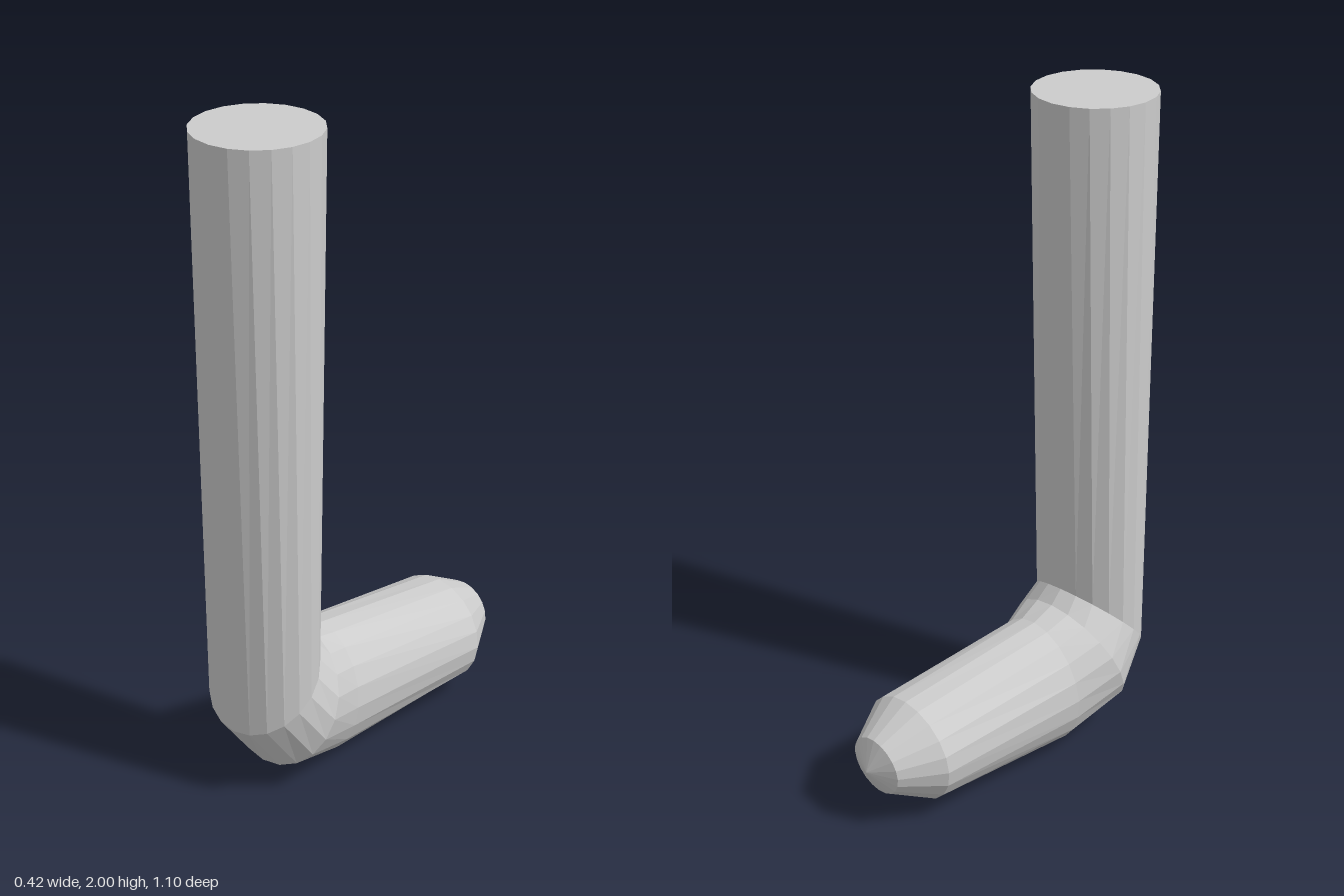
import * as THREE from 'three';

const SIDES = 20;

// Elliptical cross-sections from the cut top to the toe:
// front/underside point [y, z], back/upper point [y, z], centre x, half width, sideways skew in z
const sections = [
  { front: [2.0, 0.548], back: [2.0, 0.186], x: 0, w: 0.181, skew: 0 },
  { front: [0.22, 0.505], back: [0.47, 0.24], x: -0.005, w: 0.18, skew: 0 },
  { front: [0.06, 0.385], back: [0.43, 0.2], x: -0.005, w: 0.207, skew: 0.01 },
  { front: [0.0, 0.165], back: [0.405, 0.12], x: -0.008, w: 0.178, skew: 0.018 },
  { front: [0.02, -0.36], back: [0.34, -0.385], x: 0.032, w: 0.178, skew: 0.018 },
  { front: [0.095, -0.5], back: [0.27, -0.515], x: 0.032, w: 0.098, skew: 0.01 },
];

function ring({ front, back, x, w, skew }) {
  const cy = (front[0] + back[0]) / 2, cz = (front[1] + back[1]) / 2;
  const ay = (back[0] - front[0]) / 2, az = (back[1] - front[1]) / 2;
  return Array.from({ length: SIDES }, (_, i) => {
    const a = (i / SIDES) * Math.PI * 2, c = Math.cos(a), s = Math.sin(a);
    return [x + c * w, cy + s * ay, cz + s * az + c * skew];
  });
}

function facetedMesh(name, triangles) {
  const geometry = new THREE.BufferGeometry();
  geometry.setAttribute('position', new THREE.Float32BufferAttribute(triangles.flat(2), 3));
  geometry.computeVertexNormals();
  const mesh = new THREE.Mesh(geometry, new THREE.MeshStandardMaterial({ color: 0xcccccc, flatShading: true }));
  mesh.name = name;
  return mesh;
}

// Skin between consecutive rings
function loft(rings) {
  const tris = [];
  for (let k = 0; k < rings.length - 1; k++) {
    for (let i = 0; i < SIDES; i++) {
      const j = (i + 1) % SIDES, p = rings[k], q = rings[k + 1];
      tris.push([p[i], q[i], p[j]], [p[j], q[i], q[j]]);
    }
  }
  return tris;
}

// Fan closing a ring to a point
function fan(r, apex, flip) {
  return r.map((p, i) => {
    const n = r[(i + 1) % SIDES];
    return flip ? [apex, n, p] : [apex, p, n];
  });
}

export function createModel() {
  const rings = sections.map(ring);
  const group = new THREE.Group();
  group.name = 'bentLeg';
  group.add(
    facetedMesh('shaft', loft(rings.slice(0, 2))),
    facetedMesh('topCap', fan(rings[0], [0, 2, 0.367], false)),
    facetedMesh('bend', loft(rings.slice(1, 4))),
    facetedMesh('foot', loft(rings.slice(3))),
    facetedMesh('toeTip', fan(rings[5], [0.03, 0.18, -0.55], true)),
  );
  return group;
}
